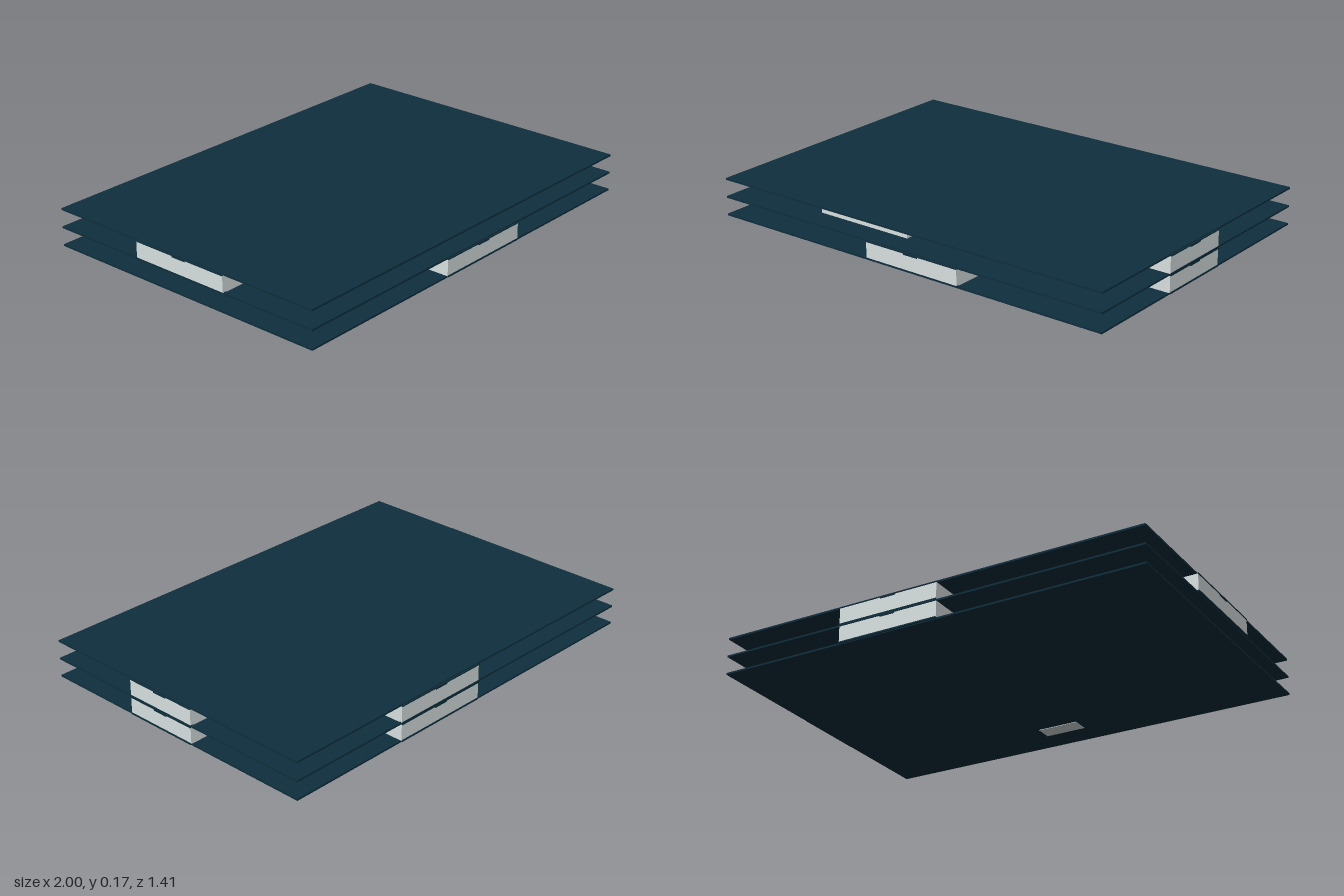
import * as THREE from 'three';

export function createModel() {
  const group = new THREE.Group();
  const navy = new THREE.MeshStandardMaterial({ color: 0x0e2f3d });
  navy.name = 'dark navy';
  const pale = new THREE.MeshStandardMaterial({ color: 0xdbe3e3 });
  pale.name = 'pale grey';

  // Box given by its lower and upper limits on each axis
  function box(name, mat, [x0, x1], [y0, y1], [z0, z1]) {
    const mesh = new THREE.Mesh(new THREE.BoxGeometry(x1 - x0, y1 - y0, z1 - z0), mat);
    mesh.position.set((x0 + x1) / 2, (y0 + y1) / 2, (z0 + z1) / 2);
    mesh.name = name;
    group.add(mesh);
  }

  // Three thin sheets
  const sheetY = [0.002, 0.084, 0.167];
  const thick = 0.008;
  for (const y of sheetY) box('sheet', navy, [-0.992, 0.992], [y, y + thick], [-0.698, 0.698]);

  // Spacer blocks between the sheets: name, levels, x limits, z limits
  const blocks = [
    ['backBlock', [0, 1], [-0.06, 0.41], [-0.702, -0.34]],
    ['rightBlock', [0, 1], [0.4, 0.996], [-0.115, 0.24]],
    ['innerBlock', [0, 1], [0.46, 0.82], [-0.34, 0.415]],
    ['frontBlock', [0], [-0.18, 0.295], [0.345, 0.702]],
    ['leftBlock', [1], [-0.998, -0.64], [-0.24, 0.24]],
    ['leftInnerBlock', [1], [-0.64, -0.53], [-0.2, 0.235]],
    ['middleBlock', [1], [-0.53, -0.055], [0.235, 0.59]],
  ];
  for (const [name, levels, xs, zs] of blocks) {
    for (const n of levels) box(name, pale, xs, [sheetY[n] + thick, sheetY[n + 1]], zs);
  }

  // Dark rims above and below each outer block, with a small notch under the upper one
  const rims = [
    ['back', [0, 1], [-0.06, 0.41], [-0.705, -0.69]],
    ['right', [0, 1], [0.98, 0.999], [-0.115, 0.24]],
    ['front', [0], [-0.18, 0.295], [0.69, 0.705]],
    ['left', [1], [-1, -0.98], [-0.24, 0.24]],
  ];
  for (const [side, levels, xs, zs] of rims) {
    const cx = (xs[0] + xs[1]) / 2, cz = (zs[0] + zs[1]) / 2;
    const alongX = xs[1] - xs[0] > 0.1;
    const nx = alongX ? [cx - 0.035, cx + 0.035] : xs;
    const nz = alongX ? zs : [cz - 0.035, cz + 0.035];
    for (const n of levels) {
      const floor = sheetY[n] + thick, roof = sheetY[n + 1];
      box(side + 'LowerRim', navy, xs, [floor - 0.004, floor + 0.003], zs);
      box(side + 'UpperRim', navy, xs, [roof - 0.001, roof + 0.004], zs);
      box(side + 'Notch', navy, nx, [roof - 0.006, roof], nz);
    }
  }

  // Pale patch on the underside
  box('undersidePatch', pale, [-0.05, 0.14], [0, 0.003], [0.49, 0.57]);

  return group;
}
